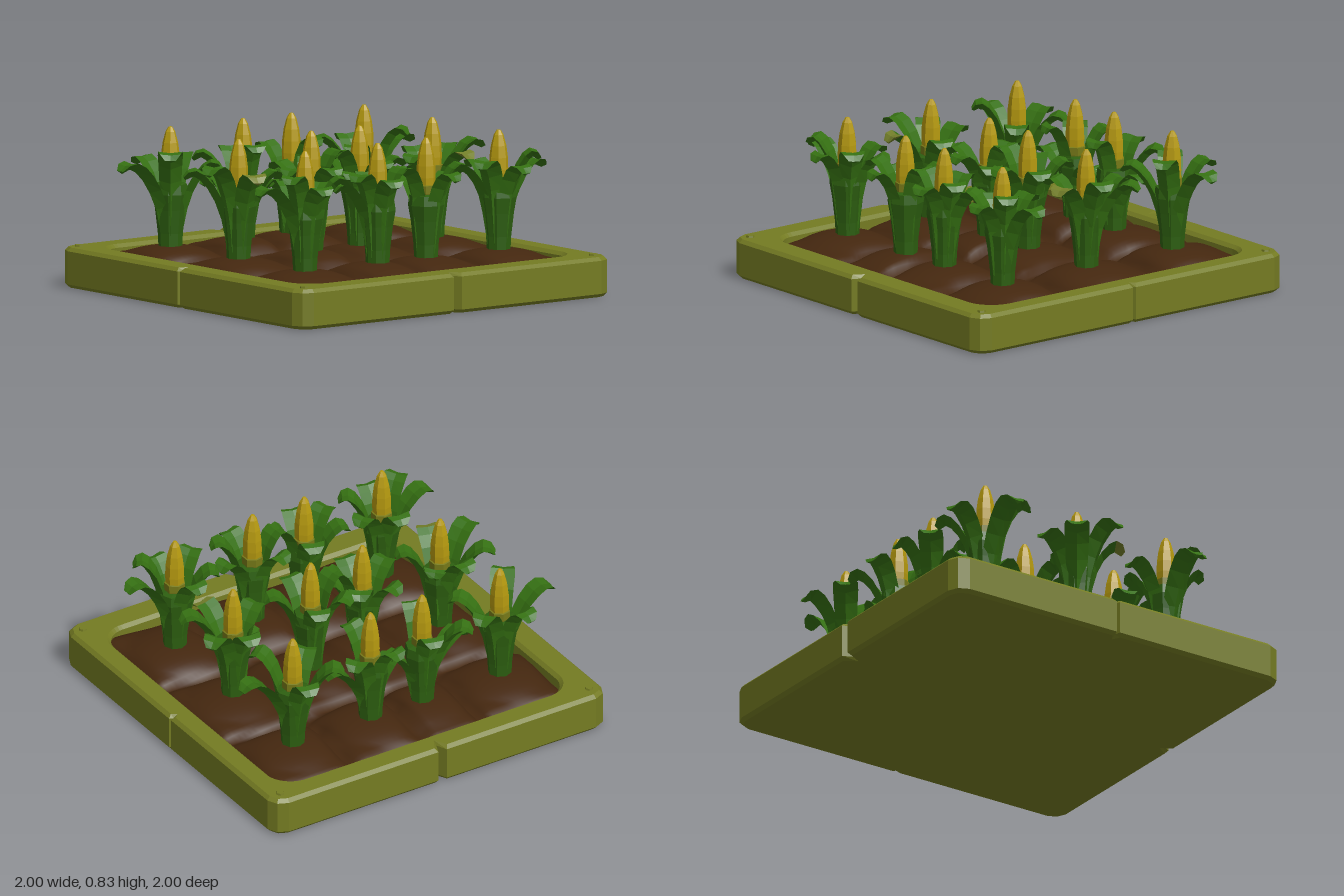
import * as THREE from 'three';

const mat = (name, color, side = THREE.FrontSide) => {
  const m = new THREE.MeshStandardMaterial({ color, side });
  m.name = name;
  return m;
};
const WOOD = mat('olive frame', 0x747b22);
const SOIL = mat('brown soil', 0x44270f, THREE.DoubleSide);
const LEAF = mat('leaf green', 0x357012);
const STALK = mat('stalk green', 0x2d5f10);
const CORN = mat('corn yellow', 0xb5990f);
const HUSK = mat('husk olive', 0x777a18);
const DRY = mat('dry leaf', 0x74802a);

const mesh = (name, geometry, material) => {
  const m = new THREE.Mesh(geometry, material);
  m.name = name;
  return m;
};
const faceted = (g) => {
  const f = g.index ? g.toNonIndexed() : g;
  f.computeVertexNormals();
  return f;
};
const lathe = (pts, sides) =>
  faceted(new THREE.LatheGeometry(pts.map(([r, y]) => new THREE.Vector2(r, y)), sides));

// Square frame with cut corners, a notch in each side and a rounded opening
function frame() {
  const g = new THREE.Group();
  g.name = 'planterFrame';
  const c = 0.92;
  const shape = new THREE.Shape([
    [-c, -1], [-0.02, -1], [-0.01, -0.965], [0, -1], [c, -1], [0.975, -0.975], [1, -c],
    [1, -0.025], [0.95, -0.005], [1, 0.025], [1, c], [0.975, 0.975], [c, 1],
    [0, 1], [-0.01, 0.98], [-0.02, 1], [-c, 1], [-0.975, 0.975], [-1, c],
    [-1, 0.025], [-0.94, 0], [-1, -0.025], [-1, -c], [-0.975, -0.975],
  ].map(([x, y]) => new THREE.Vector2(x, y)));
  const hole = new THREE.Path();
  const x0 = -0.86, x1 = 0.84, y0 = -0.85, y1 = 0.87, r = 0.13;
  hole.absarc(x1 - r, y1 - r, r, 0, Math.PI / 2);
  hole.absarc(x0 + r, y1 - r, r, Math.PI / 2, Math.PI);
  hole.absarc(x0 + r, y0 + r, r, Math.PI, Math.PI * 1.5);
  hole.absarc(x1 - r, y0 + r, r, Math.PI * 1.5, Math.PI * 2);
  shape.holes.push(hole);
  const b = 0.018;
  const geo = new THREE.ExtrudeGeometry(shape, {
    depth: 0.205 - 2 * b, bevelThickness: b, bevelSize: b, bevelOffset: -b, bevelSegments: 1, curveSegments: 5,
  });
  geo.rotateX(-Math.PI / 2).translate(0, 0.01 + b, 0);
  g.add(mesh('rim', geo, WOOD));
  const floor = mesh('floor', new THREE.BoxGeometry(1.8, 0.02, 1.8), WOOD);
  floor.position.y = 0.02;
  g.add(floor);
  // Corner pegs
  for (const x of [-0.925, 0.925]) for (const z of [-0.925, 0.925]) {
    const peg = mesh('cornerPeg', faceted(new THREE.CylinderGeometry(0.02, 0.027, 0.03, 6)), WOOD);
    peg.position.set(x, 0.21, z);
    g.add(peg);
  }
  return g;
}

// Soil pressed into a grid of mounds, one under each plant
const COLS = [-0.565, -0.005, 0.54], ROWS = [-0.62, -0.155, 0.155, 0.62];
function soil() {
  const xs = [-0.88, -0.33, 0.27, 0.86], zs = [-0.89, -0.41, 0.02, 0.36, 0.87];
  const cell = (v, edges) => {
    let i = 0;
    while (i < edges.length - 2 && v > edges[i + 1]) i++;
    const u = (2 * (v - edges[i])) / (edges[i + 1] - edges[i]) - 1;
    return 1 - Math.min(1, u ** 8);
  };
  const geo = new THREE.PlaneGeometry(1.73, 1.75, 58, 58).rotateX(-Math.PI / 2);
  const p = geo.attributes.position;
  for (let i = 0; i < p.count; i++) {
    const x = p.getX(i) - 0.01, z = p.getZ(i) - 0.01;
    const wx = x + 0.015 * Math.sin(z * 9), wz = z + 0.015 * Math.sin(x * 8 + 1);
    let d = 1;
    for (const cx of COLS) for (const cz of ROWS) d = Math.min(d, Math.hypot(x - cx, z - cz));
    const y = 0.13 + 0.065 * cell(wx, xs) * cell(wz, zs) + 0.042 * Math.max(0, 1 - (d / 0.24) ** 2);
    p.setXYZ(i, x, y, z);
  }
  geo.computeVertexNormals();
  return mesh('soil', geo, SOIL);
}

// Arching cupped leaf; dx, dz place the tip and crest is its highest level
function leaf(dx, dz, crest, dryTip) {
  const L = Math.hypot(dx, dz), d = new THREE.Vector3(dx / L, 0, dz / L);
  const up = new THREE.Vector3(0, 1, 0), s = d.clone().cross(up);
  const low = crest - 0.68;
  const curve = new THREE.CatmullRomCurve3([
    [0.025, 0.22], [0.05, 0.4 + low * 0.4], [0.37 * L, 0.55 + low * 0.8],
    [0.62 * L, 0.65 + low], [0.84 * L, crest], [L, crest - 0.035],
  ].map(([r, y]) => new THREE.Vector3(r, y, 0)));
  const widths = [0.03, 0.042, 0.05, 0.056, 0.06, 0.064, 0.062, 0.052, 0.028];
  const n = widths.length, pos = [], idx = [];
  widths.forEach((w, i) => {
    const c = curve.getPoint(i / (n - 1)), t = curve.getTangent(i / (n - 1));
    const nor = d.clone().multiplyScalar(-t.y).addScaledVector(up, t.x);
    const mid = d.clone().multiplyScalar(c.x).addScaledVector(up, c.y);
    const k = i === n - 1 ? 0.5 : 1;
    for (const [a, h] of [[0, 0.002], [w, 0.01 * k], [0, -0.028 * k], [-w, 0.01 * k]])
      pos.push(...mid.clone().addScaledVector(s, a).addScaledVector(nor, h).toArray());
  });
  for (let i = 0; i < n - 1; i++) for (let j = 0; j < 4; j++) {
    const a = i * 4 + j, b = i * 4 + ((j + 1) % 4);
    idx.push(a, b, a + 4, b, b + 4, a + 4);
  }
  const e = (n - 1) * 4;
  idx.push(e, e + 1, e + 2, e, e + 2, e + 3);
  let geo = new THREE.BufferGeometry();
  geo.setAttribute('position', new THREE.Float32BufferAttribute(pos, 3));
  geo.setIndex(idx);
  geo = faceted(geo);
  if (!dryTip) return mesh('leaf', geo, LEAF);
  // Withered patch near the end of the leaf
  const split = (n - 3) * 24;
  geo.clearGroups();
  geo.addGroup(0, split, 0);
  geo.addGroup(split, idx.length - split, 1);
  return mesh('leaf', geo, [LEAF, DRY]);
}

// Leaf tips as [dx, dz, crest, dry] for the back half of the bed
const OUTER = [
  [[-0.01, -0.31, 0.67], [-0.235, -0.04, 0.67], [0.18, -0.14, 0.73], [0.17, 0.2, 0.66], [-0.15, 0.21, 0.68]],
  [[0.085, -0.26, 0.72], [-0.155, -0.23, 0.68], [-0.235, -0.03, 0.67], [0.24, -0.06, 0.68, true], [0.085, 0.21, 0.67], [-0.09, 0.09, 0.6]],
  [[-0.01, -0.29, 0.67], [0.11, -0.18, 0.73], [0.2, -0.02, 0.67], [-0.22, 0.015, 0.67], [0.11, 0.19, 0.7], [-0.1, 0.2, 0.66]],
];
const INNER = [
  [[0.01, -0.26, 0.56], [-0.16, -0.2, 0.67], [0.17, -0.04, 0.72], [-0.2, 0.05, 0.68], [0.04, 0.18, 0.52]],
  [[0.085, -0.22, 0.67], [-0.22, -0.08, 0.67], [0.22, -0.01, 0.67], [-0.18, 0.13, 0.68], [0.02, 0.18, 0.73], [0.1, 0.14, 0.62]],
  [[-0.06, -0.23, 0.64], [0.08, -0.2, 0.7], [0.2, -0.04, 0.67], [-0.21, 0.07, 0.67], [0.01, 0.18, 0.7]],
];
const stalkGeo = lathe([[0.058, 0.18], [0.064, 0.3], [0.078, 0.42], [0.092, 0.5], [0.085, 0.55], [0.03, 0.56]], 8);
const huskGeo = lathe([[0.045, 0.53], [0.054, 0.56], [0.055, 0.6], [0.04, 0.605]], 7);
const cobGeo = lathe([[0.046, 0.58], [0.05, 0.64], [0.048, 0.7], [0.04, 0.76], [0.025, 0.815], [0.01, 0.84], [0, 0.842]], 7);

function plant(leaves, flip) {
  const g = new THREE.Group();
  g.name = 'cornPlant';
  g.add(mesh('stalk', stalkGeo, STALK), mesh('husk', huskGeo, HUSK), mesh('cob', cobGeo, CORN));
  for (const [dx, dz, crest, dry] of leaves) g.add(leaf(dx, dz * flip, crest, dry));
  return g;
}

export function createModel() {
  const model = new THREE.Group();
  model.name = 'cornBed';
  model.add(frame(), soil());
  // The front two rows mirror the back two
  ROWS.forEach((z, r) => COLS.forEach((x, c) => {
    const set = r === 0 || r === 3 ? OUTER : INNER;
    const p = plant(set[c], z < 0 ? 1 : -1);
    p.position.set(x, 0, z);
    model.add(p);
  }));
  return model;
}
